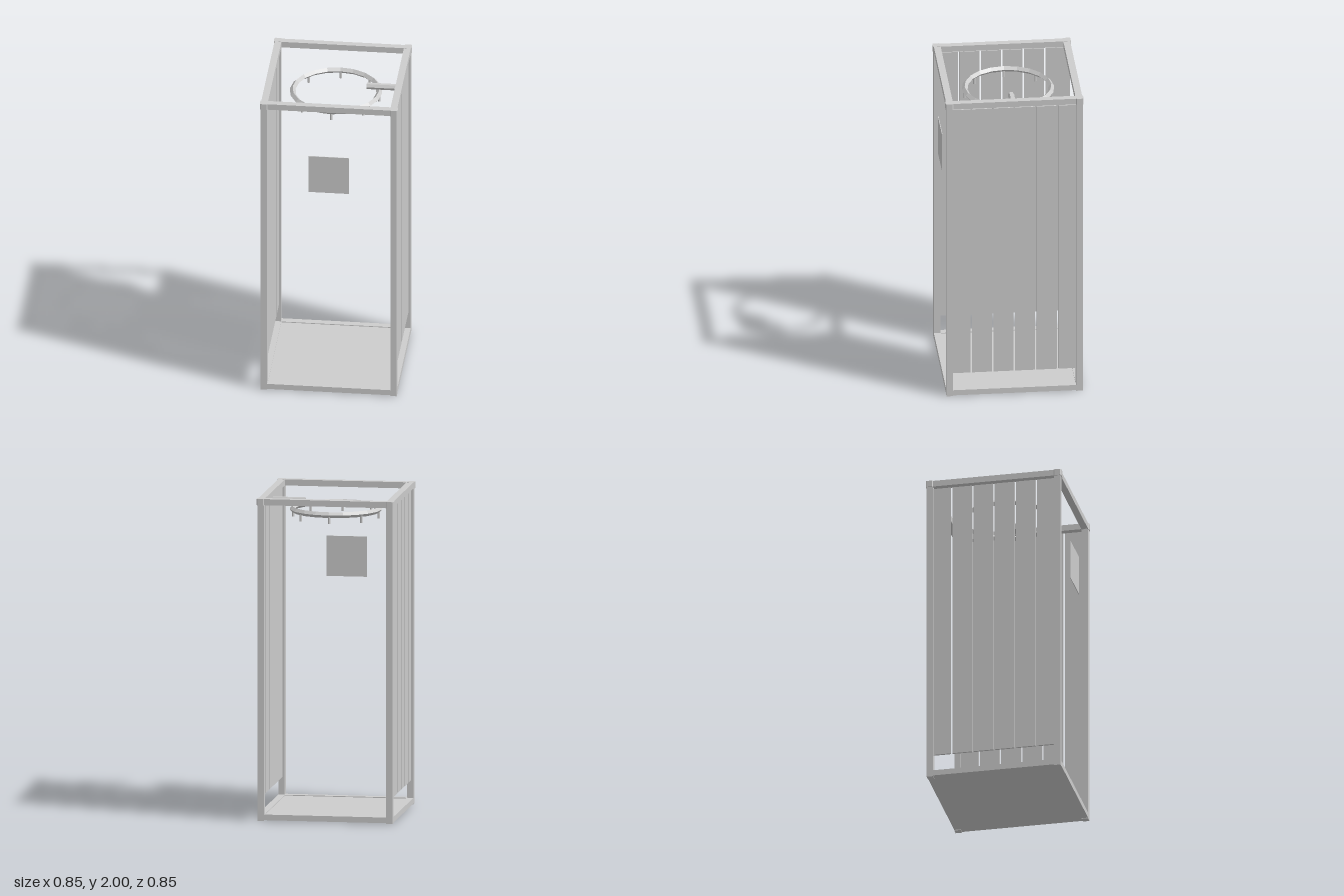
import * as THREE from 'three';

export function createModel() {
  const model = new THREE.Group();
  const grey = new THREE.MeshStandardMaterial({ color: 0xcccccc, flatShading: true });
  grey.name = 'light grey';

  const add = (parent, name, geometry, x, y, z) => {
    const mesh = new THREE.Mesh(geometry, grey);
    mesh.name = name;
    mesh.position.set(x, y, z);
    parent.add(mesh);
    return mesh;
  };
  const box = (parent, name, w, h, d, x, y, z) =>
    add(parent, name, new THREE.BoxGeometry(w, h, d), x, y, z);
  const group = (name) => {
    const g = new THREE.Group();
    g.name = name;
    model.add(g);
    return g;
  };

  // Chamfered square block for the top corners
  const s = 0.0237, c = 0.018;
  const outline = new THREE.Shape(
    [[s, c], [c, s], [-c, s], [-s, c], [-s, -c], [-c, -s], [c, -s], [s, -c]]
      .map(([x, y]) => new THREE.Vector2(x, y)));
  const capGeometry = new THREE.ExtrudeGeometry(outline, { depth: 0.04, bevelEnabled: false });
  capGeometry.rotateX(-Math.PI / 2);

  // Corner posts and caps, joined by rails at top and bottom
  const frame = group('frame');
  for (const a of [-1, 1]) {
    for (const b of [-1, 1]) {
      box(frame, 'cornerPost', 0.04, 1.96, 0.04, a * 0.4, 0.98, b * 0.4);
      add(frame, 'cornerCap', capGeometry, a * 0.4015, 1.96, b * 0.4015);
    }
    for (const [level, y, h] of [['top', 1.98, 0.038], ['bottom', 0.0225, 0.035]]) {
      box(frame, level + 'CrossRail', 0.76, h, 0.042, 0, y, a * 0.399);
      box(frame, level + 'SideRail', 0.042, h, 0.76, a * 0.399, y, 0);
    }
  }
  box(model, 'floor', 0.765, 0.03, 0.765, 0, 0.02, 0);

  // Vertical slats on both sides
  for (const side of [-1, 1]) {
    const wall = group(side > 0 ? 'leftWall' : 'rightWall');
    for (let i = 0; i < 6; i++) {
      const width = i === 0 || i === 5 ? 0.115 : 0.123;
      const shift = i === 0 ? 0.004 : i === 5 ? -0.004 : 0;
      box(wall, 'slat', 0.012, 1.8, width, side * 0.4, 1.05, (i - 2.5) * 0.133 + shift);
    }
  }

  // Ring with eight short pegs below it
  const ringGroup = group('hangingRing');
  const ringRadius = 0.267, ringY = 1.885;
  const ringGeometry = new THREE.TorusGeometry(ringRadius, 0.018, 4, 20);
  ringGeometry.rotateX(-Math.PI / 2);
  add(ringGroup, 'ring', ringGeometry, 0, ringY, 0);
  const pegGeometry = new THREE.CylinderGeometry(0.008, 0.008, 0.05, 6);
  for (let i = 0; i < 8; i++) {
    const t = (i * Math.PI) / 4;
    add(ringGroup, 'peg', pegGeometry, ringRadius * Math.cos(t), 1.855, ringRadius * Math.sin(t));
  }

  // Six-sided arm reaching in from the left wall
  const armGeometry = new THREE.CylinderGeometry(0.02, 0.02, 0.2, 6);
  armGeometry.rotateZ(Math.PI / 2);
  add(model, 'arm', armGeometry, 0.29, 1.932, 0);

  // Thin plate at the front
  box(model, 'frontPlate', 0.25, 0.25, 0.004, 0, 1.525, 0.418);

  return model;
}
